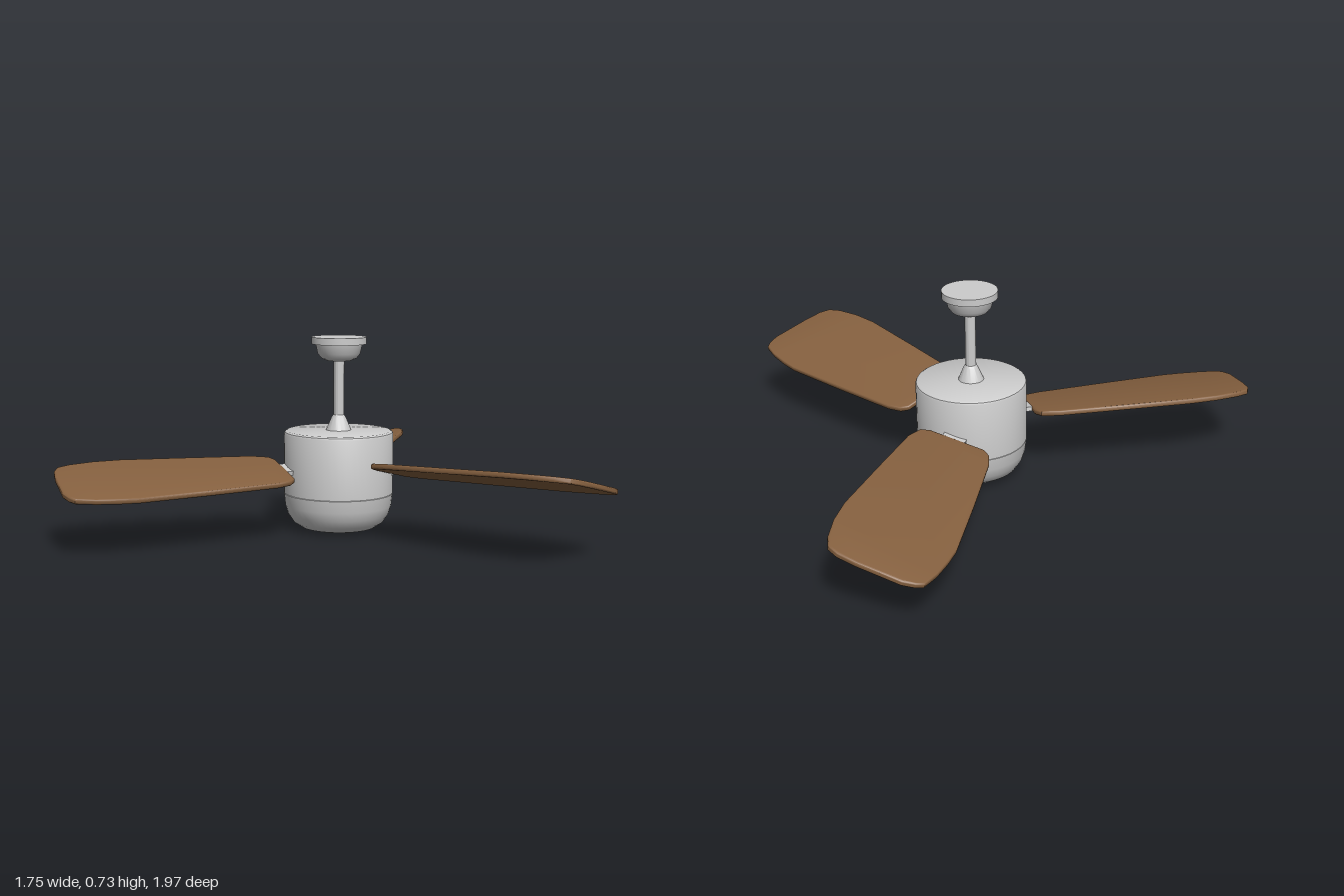
import * as THREE from 'three';
import { toCreasedNormals } from 'three/addons/utils/BufferGeometryUtils.js';

const grey = new THREE.MeshStandardMaterial({ color: 0xcccccc });
const wood = new THREE.MeshStandardMaterial({ color: 0x85603f });

function named(name, geometry, material = grey) {
  const mesh = new THREE.Mesh(geometry, material);
  mesh.name = name;
  return mesh;
}

// Turned part from [radius, height] pairs, listed bottom to top
function turned(name, profile) {
  const points = profile.map(([r, y]) => new THREE.Vector2(r, y));
  return named(name, toCreasedNormals(new THREE.LatheGeometry(points, 48), 0.6));
}

// Blade outline in its own frame: x is distance from the hub axis, y runs across
function bladeGeometry() {
  const outline = [
    [0.226, -0.09], [0.24, -0.12], [0.3, -0.142], [0.55, -0.165], [0.8, -0.186], [0.9, -0.182],
    [0.99, -0.165], [1.035, -0.145], [1.053, -0.11], [1.063, -0.04], [1.071, 0.11], [1.06, 0.15],
    [1.045, 0.172], [0.98, 0.19], [0.9, 0.201], [0.83, 0.205], [0.57, 0.182], [0.3, 0.154],
    [0.25, 0.138], [0.23, 0.115],
  ].map(([r, s]) => new THREE.Vector2(-r, s));
  const geometry = new THREE.ExtrudeGeometry(new THREE.Shape(outline), {
    depth: 0.008, bevelThickness: 0.006, bevelSize: 0.006, bevelSegments: 3,
  });
  geometry.translate(0, 0, -0.004);
  geometry.rotateX(Math.PI / 2);
  geometry.rotateX(0.23); // blade pitch
  return toCreasedNormals(geometry, 0.7);
}

export function createModel() {
  const model = new THREE.Group();
  model.name = 'ceilingFan';
  const fan = new THREE.Group();
  fan.name = 'fan';
  fan.position.set(0.208, 0, 0.01);
  model.add(fan);

  // Light bowl, motor housing and hanging hardware
  fan.add(
    turned('lightBowl', [
      [0, 0], [0.1, 0.002], [0.14, 0.012], [0.17, 0.032], [0.19, 0.062], [0.2, 0.095],
      [0.205, 0.14], [0.19, 0.145],
    ]),
    turned('motorHousing', [
      [0, 0.142], [0.205, 0.142], [0.205, 0.364], [0.202, 0.371], [0.194, 0.376], [0, 0.378],
    ]),
    turned('collar', [[0.048, 0.375], [0.027, 0.425], [0.02, 0.435], [0, 0.435]]),
    turned('downRod', [[0.02, 0.42], [0.02, 0.645]]),
    turned('canopy', [
      [0, 0.637], [0.045, 0.638], [0.066, 0.647], [0.08, 0.665], [0.087, 0.7],
      [0.102, 0.7], [0.102, 0.726], [0, 0.726],
    ]),
  );

  // Slightly tilted rotor with three blades
  const rotor = new THREE.Group();
  rotor.name = 'rotor';
  rotor.position.y = 0.238;
  rotor.rotation.x = -0.042;
  fan.add(rotor);

  const bladeShape = bladeGeometry();
  const bracketShape = new THREE.BoxGeometry(0.12, 0.016, 0.085);
  bracketShape.rotateX(0.23);
  bracketShape.translate(-0.225, 0, 0);
  for (let i = 0; i < 3; i++) {
    const arm = new THREE.Group();
    arm.name = `bladeArm${i + 1}`;
    arm.rotation.y = (i * Math.PI * 2) / 3;
    arm.add(named('blade', bladeShape, wood), named('bladeBracket', bracketShape));
    rotor.add(arm);
  }
  return model;
}
